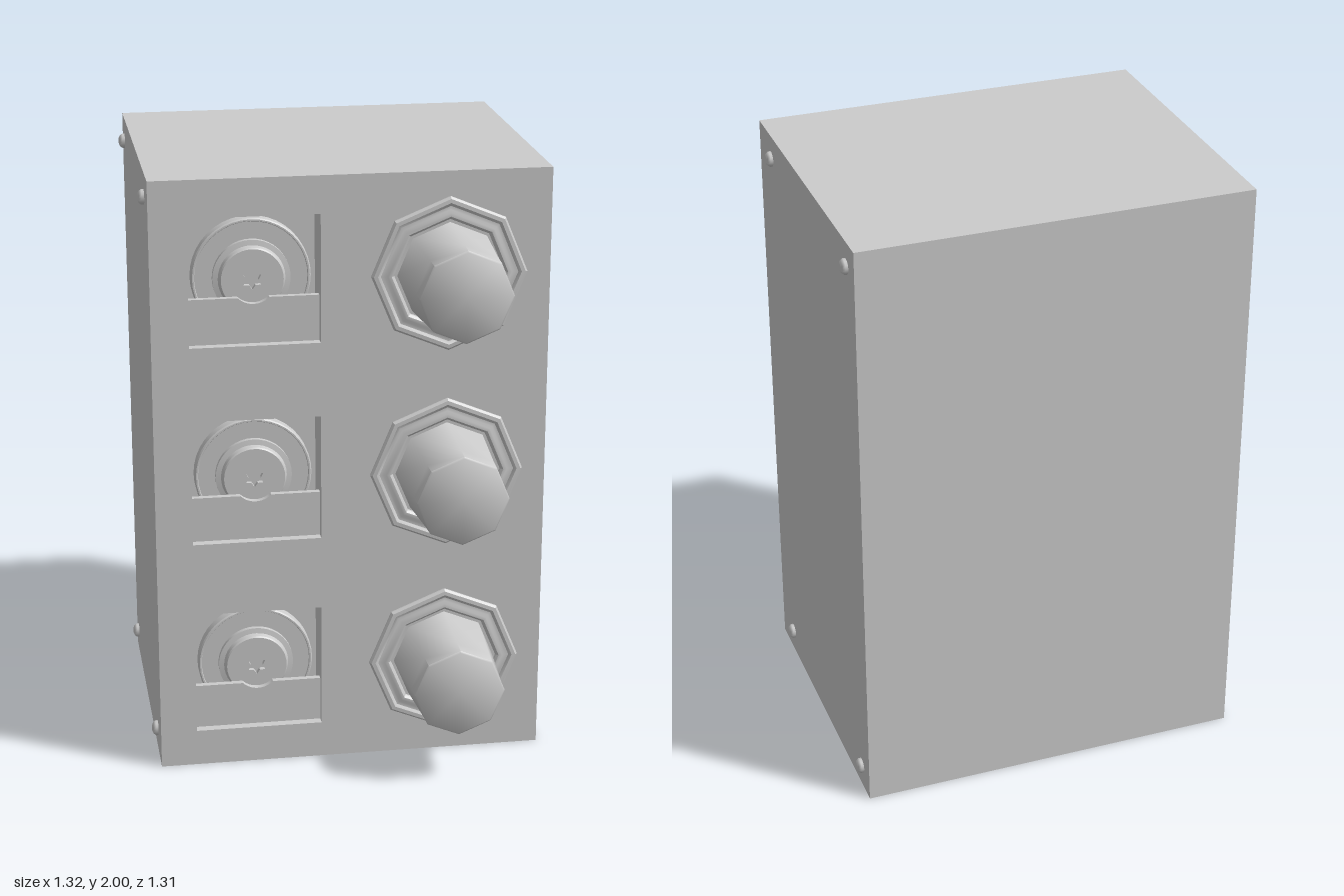
import * as THREE from 'three';
import { toCreasedNormals } from 'three/addons/utils/BufferGeometryUtils.js';

const grey = new THREE.MeshStandardMaterial({ color: 0xcccccc });
const FRONT = 0.372, BACK = -0.655, HALF = 0.64, DEPTH = 0.13;
const ROWS = [0.333, 1, 1.667];

function add(parent, name, geometry, x = 0, y = 0, z = 0) {
  const mesh = new THREE.Mesh(geometry, grey);
  mesh.name = name;
  mesh.position.set(x, y, z);
  parent.add(mesh);
  return mesh;
}

// Lathe whose axis points along +z; points are [radius, z]
function turned(points, sides, crease = 0.5) {
  const g = new THREE.LatheGeometry(points.map(([r, z]) => new THREE.Vector2(r, z)), sides);
  g.rotateX(Math.PI / 2);
  return toCreasedNormals(g, crease);
}

function rectangle(Type, x0, y0, x1, y1) {
  const p = new Type();
  p.moveTo(x0, y0);
  p.lineTo(x1, y0);
  p.lineTo(x1, y1);
  p.lineTo(x0, y1);
  p.closePath();
  return p;
}

function star(outer, inner) {
  const p = new THREE.Path();
  for (let i = 0; i < 12; i++) {
    const r = i % 2 ? inner : outer, a = Math.PI / 2 + i * Math.PI / 6;
    if (i) p.lineTo(r * Math.cos(a), r * Math.sin(a));
    else p.moveTo(r * Math.cos(a), r * Math.sin(a));
  }
  p.closePath();
  return p;
}

const extrude = (shape, depth) =>
  new THREE.ExtrudeGeometry(shape, { depth, bevelEnabled: false, curveSegments: 24 });

// Dial wheel behind a window, half hidden by a notched cover plate
function createDial() {
  const dial = new THREE.Group();
  dial.name = 'dial';
  add(dial, 'wheel', turned([[0.192, 0], [0.192, 0.036], [0.188, 0.04], [0.183, 0.04],
    [0.181, 0.036], [0.125, 0.036], [0.125, 0.052], [0.108, 0.055], [0.104, 0.07],
    [0.1, 0.074], [0.035, 0.074]], 40), 0, -0.01);

  // Centre screw with a star socket
  const head = new THREE.Shape();
  head.absarc(0, 0, 0.036, 0, Math.PI * 2);
  head.holes.push(star(0.032, 0.02));
  add(dial, 'screwHead', extrude(head, 0.02), 0, -0.01, 0.054);
  add(dial, 'screwSocket', new THREE.CircleGeometry(0.036, 24), 0, -0.01, 0.056);

  // Cover plate with a round notch under the screw
  const plate = new THREE.Shape();
  plate.moveTo(-0.21, -0.21);
  plate.lineTo(0.21, -0.21);
  plate.lineTo(0.21, -0.06);
  plate.lineTo(0.05, -0.06);
  plate.absarc(0, -0.01, 0.071, -Math.PI / 4, -3 * Math.PI / 4, true);
  plate.lineTo(-0.21, -0.06);
  plate.closePath();
  add(dial, 'coverPlate', extrude(plate, 0.02), 0, 0, 0.08);
  return dial;
}

// Tapered eight-sided knob standing in a ridged collar
function createKnob() {
  const knob = new THREE.Group();
  knob.name = 'knob';
  add(knob, 'collar', turned([[0.252, 0], [0.252, 0.006], [0.245, 0.013], [0.232, 0.014],
    [0.222, 0.008], [0.21, 0.008], [0.2, 0.013], [0.188, 0.013], [0.18, 0.006],
    [0.178, 0]], 8));
  add(knob, 'grip', turned([[0.168, 0], [0.151, 0.225], [0.149, 0.278], [0.143, 0.283],
    [0, 0.283]], 8, 0.9));
  return knob;
}

export function createModel() {
  const model = new THREE.Group();
  model.name = 'controlBox';

  // Solid housing and a front panel with three windows
  const inner = FRONT - DEPTH;
  add(model, 'housing', new THREE.BoxGeometry(HALF * 2, 2, inner - BACK), 0, 1, (inner + BACK) / 2);
  const panel = rectangle(THREE.Shape, -HALF, 0, HALF, 2);
  for (const y of ROWS) panel.holes.push(rectangle(THREE.Path, -0.52, y - 0.21, -0.1, y + 0.21));
  add(model, 'frontPanel', extrude(panel, DEPTH), 0, 0, inner);

  // One dial and one knob per row
  for (const y of ROWS) {
    const dial = createDial();
    dial.position.set(-0.31, y, inner);
    const knob = createKnob();
    knob.position.set(0.312, y, FRONT);
    model.add(dial, knob);
  }

  // Domed screws in the corners of both sides
  const screw = turned([[0.025, 0], [0.025, 0.008], [0.019, 0.016], [0.01, 0.02], [0, 0.021]], 12, 0.8);
  for (const side of [-1, 1])
    for (const y of [0.08, 1.92])
      for (const z of [0.24, -0.575])
        add(model, 'sideScrew', screw, side * HALF, y, z).rotation.y = side * Math.PI / 2;

  return model;
}
